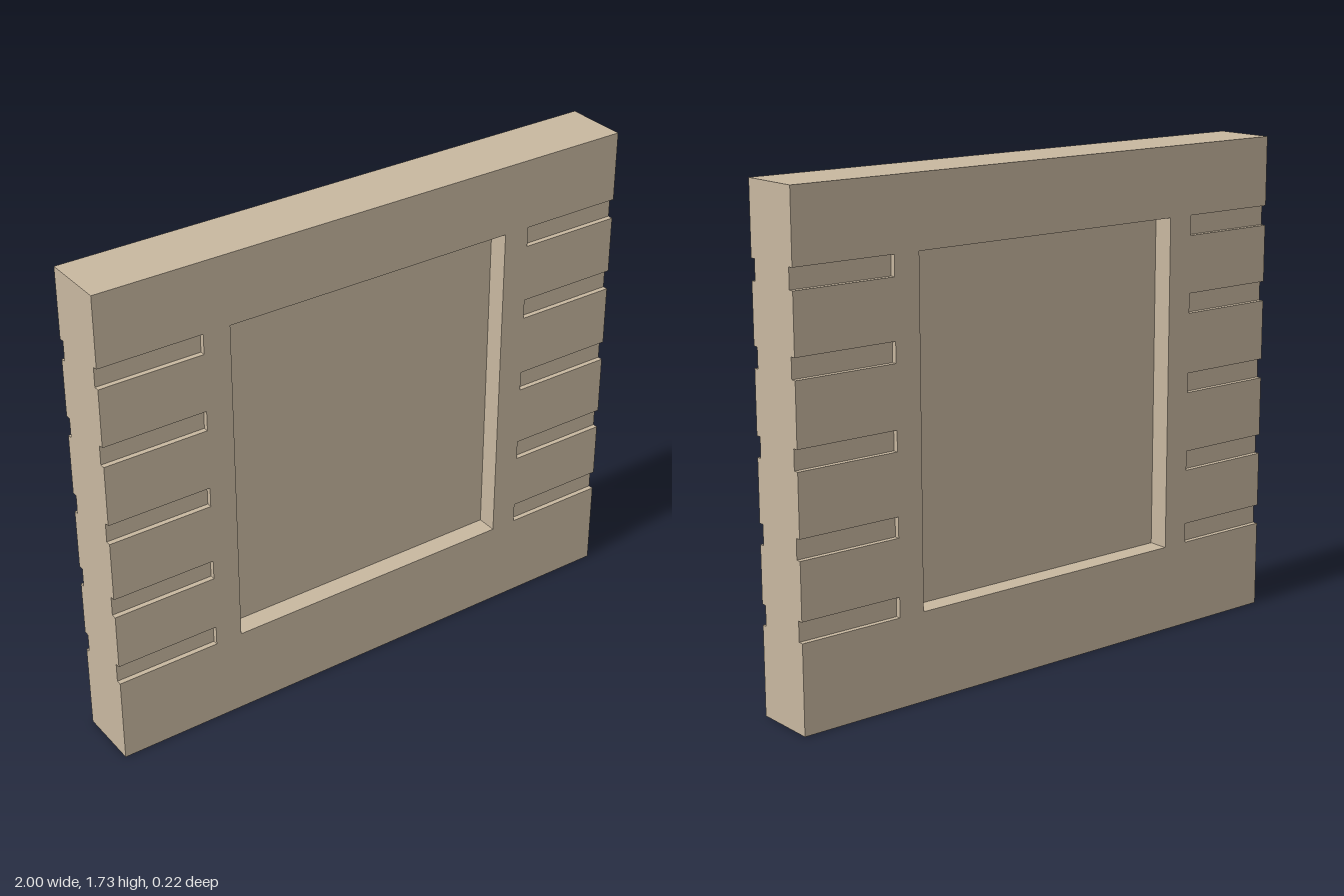
import * as THREE from 'three';

const H = 1.73, HALF_DEPTH = 0.112;
const SLOT_DEPTH = 0.018, RECESS_DEPTH = 0.073;
const SLOT_HEIGHT = 0.07;
const SLOT_BOTTOMS = [0.308, 0.575, 0.858, 1.142, 1.415];
const SLOT_LEFT = 0.627, SLOT_RIGHT = -0.633; // inner ends of the slots
const RECESS = { x0: -0.537, x1: 0.532, y0: 0.308, y1: 1.485 };

// Slab outline, optionally notched by the slots at both side edges
function outline(notched) {
  const p = [[-1, 0], [1, 0]];
  if (notched) {
    for (const y of SLOT_BOTTOMS) {
      const t = y + SLOT_HEIGHT;
      p.push([1, y], [SLOT_LEFT, y], [SLOT_LEFT, t], [1, t]);
    }
  }
  p.push([1, H], [-1, H]);
  if (notched) {
    for (const y of [...SLOT_BOTTOMS].reverse()) {
      const t = y + SLOT_HEIGHT;
      p.push([-1, t], [SLOT_RIGHT, t], [SLOT_RIGHT, y], [-1, y]);
    }
  }
  return new THREE.Shape(p.map(([x, y]) => new THREE.Vector2(x, y)));
}

// Rectangular opening of the central recess
function recessHole() {
  const { x0, x1, y0, y1 } = RECESS;
  return new THREE.Path([[x0, y0], [x0, y1], [x1, y1], [x1, y0]].map(([x, y]) => new THREE.Vector2(x, y)));
}

export function createModel() {
  const group = new THREE.Group();
  group.name = 'recessedPanel';
  const stone = new THREE.MeshStandardMaterial({ color: 0xc8b8a0 });
  stone.name = 'sandstone';

  function layer(name, notched, open, z0, z1) {
    const shape = outline(notched);
    if (open) shape.holes.push(recessHole());
    const geometry = new THREE.ExtrudeGeometry(shape, { depth: z1 - z0, bevelEnabled: false });
    geometry.translate(0, 0, z0);
    const mesh = new THREE.Mesh(geometry, stone);
    mesh.name = name;
    group.add(mesh);
  }

  // Solid centre forms the floor of both recesses
  const slotZ = HALF_DEPTH - SLOT_DEPTH, coreZ = HALF_DEPTH - RECESS_DEPTH;
  layer('core', false, false, -coreZ, coreZ);

  // Frame around the recess, then the slotted face, on each side
  layer('frontFrame', false, true, coreZ, slotZ);
  layer('frontSlottedFace', true, true, slotZ, HALF_DEPTH);
  layer('backFrame', false, true, -slotZ, -coreZ);
  layer('backSlottedFace', true, true, -HALF_DEPTH, -slotZ);

  return group;
}
